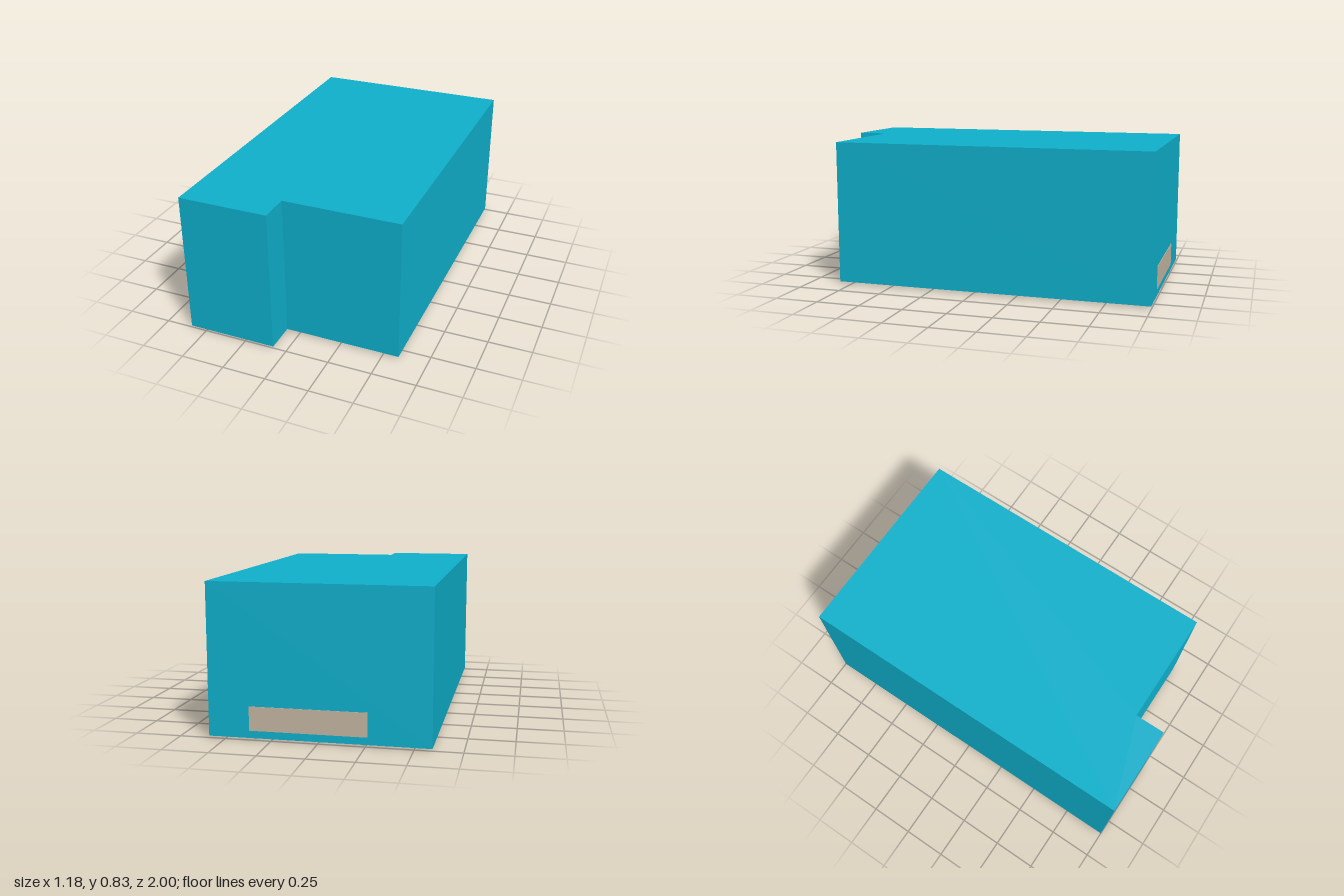
import * as THREE from 'three';

export function createModel() {
  const model = new THREE.Group();
  const teal = new THREE.MeshStandardMaterial({ color: 0x0fb0cc });
  const beige = new THREE.MeshStandardMaterial({ color: 0xc4b5a2 });

  const add = (name, geometry, material, x = 0, y = 0, z = 0) => {
    const mesh = new THREE.Mesh(geometry, material);
    mesh.name = name;
    mesh.position.set(x, y, z);
    model.add(mesh);
    return mesh;
  };

  // Body: stepped floor plan (x, z), extruded upwards
  const base = 0.01, top = 0.83;
  const plan = [[-0.593, -0.997], [0.59, -0.997], [0.59, 0.825], [-0.077, 0.825], [-0.077, 1], [-0.593, 1]];
  const outline = new THREE.Shape(plan.map(([x, z]) => new THREE.Vector2(x, -z)));
  const body = new THREE.ExtrudeGeometry(outline, { depth: top - base, bevelEnabled: false });
  body.rotateX(-Math.PI / 2);
  add('body', body, teal, 0, base, 0);

  // Thin plate low on the back wall
  add('backPlate', new THREE.BoxGeometry(0.63, 0.13, 0.004), beige, 0.053, 0.115, -0.998);

  // Four tiny feet under the rear half
  for (const x of [-0.241, 0.343]) {
    for (const z of [-0.373, -0.975]) {
      add('foot', new THREE.BoxGeometry(0.016, base, 0.014), beige, x, base / 2, z);
    }
  }
  return model;
}
